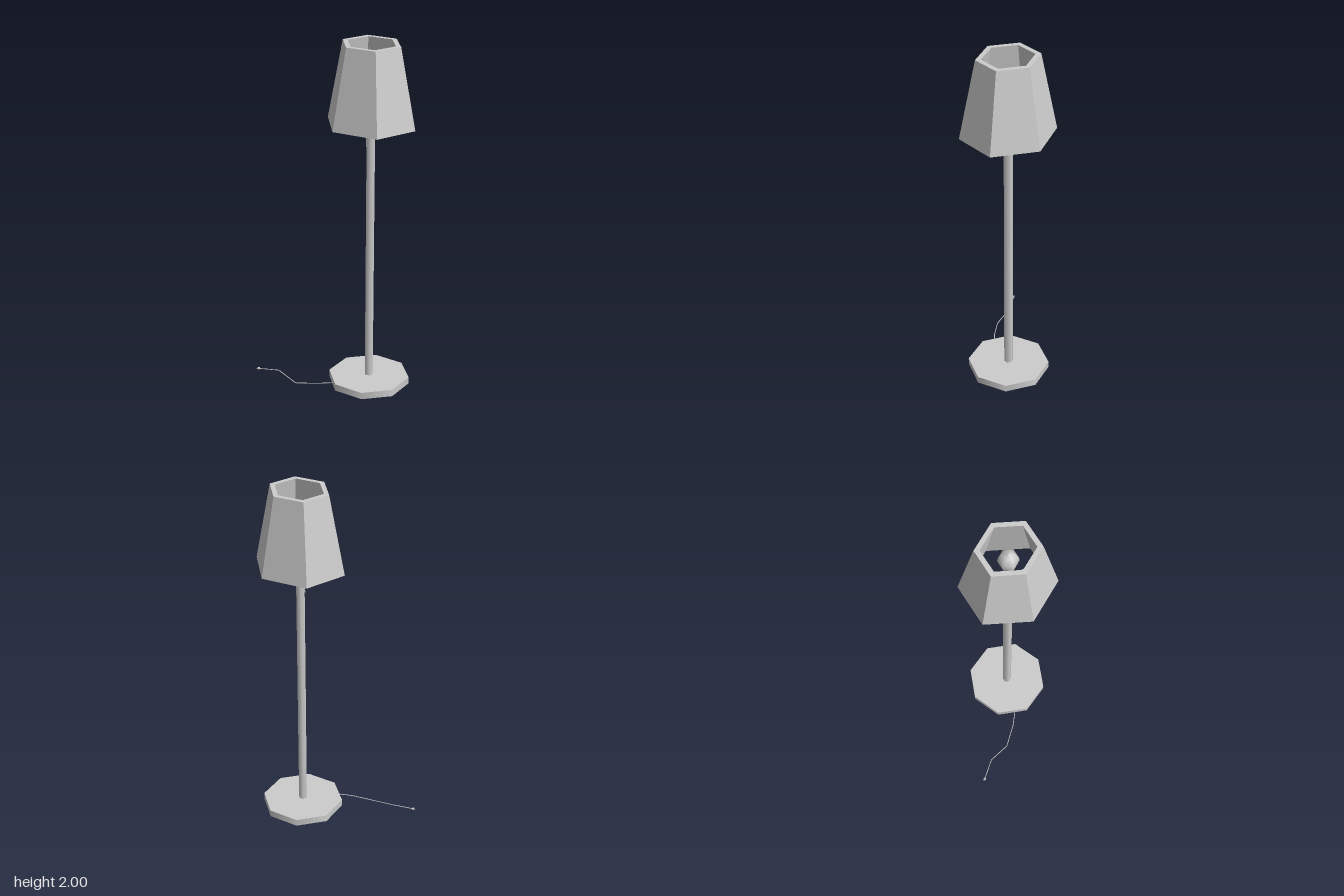
import * as THREE from 'three';

const grey = new THREE.MeshStandardMaterial({ color: 0xcccccc });
const flat = new THREE.MeshStandardMaterial({ color: 0xcccccc, flatShading: true });
const HALF_PI = Math.PI / 2;

function part(parent, name, geometry, material, x = 0, y = 0, z = 0) {
  const mesh = new THREE.Mesh(geometry, material);
  mesh.name = name;
  mesh.position.set(x, y, z);
  parent.add(mesh);
  return mesh;
}

// Upright prism between two heights
function post(radius, y0, y1, sides, start = 0) {
  return new THREE.CylinderGeometry(radius, radius, y1 - y0, sides, 1, false, start)
    .translate(0, (y0 + y1) / 2, 0);
}

// Turned profile with a corner on the x axis
function turned(profile) {
  return new THREE.LatheGeometry(profile.map(p => new THREE.Vector2(...p)), 6, HALF_PI);
}

export function createModel() {
  const model = new THREE.Group();
  model.name = 'floorLamp';

  // Everything except the cable is centred on the pole
  const lamp = new THREE.Group();
  lamp.name = 'lamp';
  lamp.position.set(0.115, 0, 0.115);
  model.add(lamp);

  part(lamp, 'base', post(0.23, 0.02, 0.06, 8), grey);
  part(lamp, 'pole', post(0.025, 0.014, 1.77, 6, HALF_PI), grey);

  // Thick-walled hexagonal shade, slightly deeper than a regular hexagon
  const shade = part(lamp, 'shade', turned([
    [0.245, 1.56], [0.16, 2], [0.132, 2], [0.217, 1.56], [0.245, 1.56],
  ]).toNonIndexed(), flat);
  shade.scale.z = 1.083;

  // Bulb on top of the pole
  part(lamp, 'bulb', turned([
    [0, 1.76], [0.025, 1.76], [0.03, 1.79], [0.05, 1.83], [0.0565, 1.86],
    [0.05, 1.895], [0.03, 1.922], [0, 1.933],
  ]), grey);

  // Bar carrying the shade, with the pull cord hanging from it
  part(lamp, 'shadeBar', new THREE.BoxGeometry(0.012, 0.012, 0.39), flat, 0, 1.62, 0);
  part(lamp, 'pullCord', post(0.002, 1.42, 1.62, 6), grey, 0, 0, -0.041);

  // Power cable: straight runs between bends
  const points = [
    [0.02, 0.035, 0.1], [-0.09, 0.03, 0.045], [-0.155, 0.021, -0.01],
    [-0.24, 0.005, -0.107], [-0.272, 0.038, -0.237], [-0.348, 0.031, -0.33],
  ].map(p => new THREE.Vector3(...p));
  const path = new THREE.CurvePath();
  for (let i = 1; i < points.length; i++) path.add(new THREE.LineCurve3(points[i - 1], points[i]));
  part(model, 'cable', new THREE.TubeGeometry(path, 80, 0.0025, 6), grey);

  // Plug with two prongs, pointing along the last run of the cable
  const plug = new THREE.Group();
  plug.name = 'plug';
  plug.position.copy(points[5]);
  plug.quaternion.setFromUnitVectors(new THREE.Vector3(0, 1, 0),
    points[5].clone().sub(points[4]).normalize());
  model.add(plug);
  part(plug, 'plugBody', post(0.007, -0.002, 0.009, 6), flat);
  for (const side of [-1, 1]) {
    part(plug, 'prong', post(0.0015, 0.009, 0.016, 6), grey, side * 0.004, 0, 0);
  }

  return model;
}
